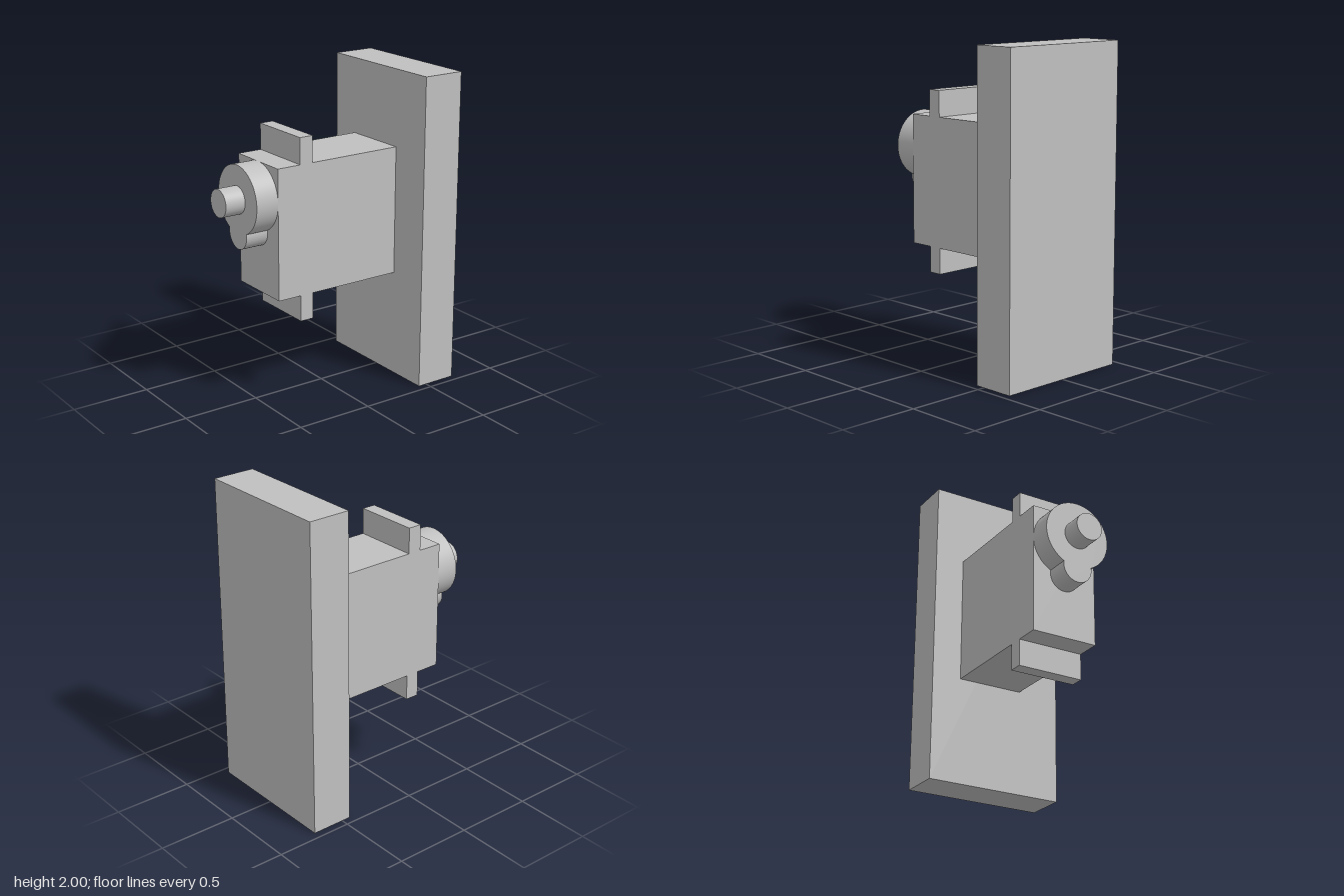
import * as THREE from 'three';
import { toCreasedNormals } from 'three/addons/utils/BufferGeometryUtils.js';

const grey = new THREE.MeshStandardMaterial({ color: 0xc0c0c0 });
grey.name = 'grey';

export function createModel() {
  const model = new THREE.Group();
  model.name = 'servoOnPlate';

  const add = (name, geometry, x, y, z) => {
    const mesh = new THREE.Mesh(geometry, grey);
    mesh.name = name;
    mesh.position.set(x, y, z);
    model.add(mesh);
  };
  // Box given by its minimum and maximum corners
  const box = (name, [x0, y0, z0], [x1, y1, z1]) =>
    add(name, new THREE.BoxGeometry(x1 - x0, y1 - y0, z1 - z0),
      (x0 + x1) / 2, (y0 + y1) / 2, (z0 + z1) / 2);

  const left = 0.174, right = -0.257;
  const bottom = 0.687, top = 1.513, front = 0.432, plateFront = -0.442;

  // Mounting plate and motor body
  box('mountingPlate', [-0.452, 0, -0.712], [0.452, 2, plateFront]);
  box('motorBody', [right, bottom, plateFront], [left, top, front]);

  // Mounting tabs above and below the body
  box('upperTab', [right, top, 0.184], [left, 1.679, 0.274]);
  box('lowerTab', [right, 0.521, 0.184], [left, bottom, 0.274]);

  // Gear housing: a large circle joined to a small one below it
  const cx = (left + right) / 2, cy = 1.298;
  const R = 0.2155, r = 0.097, d = 0.213, depth = 0.148;
  const a = (d * d + R * R - r * r) / (2 * d);
  const h = Math.sqrt(R * R - a * a);
  const outline = new THREE.Shape();
  outline.absarc(0, 0, R, Math.atan2(-a, h), Math.PI + Math.atan2(a, h), false);
  outline.absarc(0, -d, r, Math.atan2(d - a, -h), 2 * Math.PI + Math.atan2(d - a, h), false);
  const housing = new THREE.ExtrudeGeometry(outline, { depth, bevelEnabled: false, curveSegments: 48 });
  add('gearHousing', toCreasedNormals(housing, 0.5), cx, cy, front);

  // Output shaft
  const shaftStart = front + depth, shaftEnd = 0.712;
  const shaft = new THREE.CylinderGeometry(0.0875, 0.0875, shaftEnd - shaftStart, 48);
  shaft.rotateX(Math.PI / 2);
  add('outputShaft', shaft, cx, cy, (shaftStart + shaftEnd) / 2);

  return model;
}
